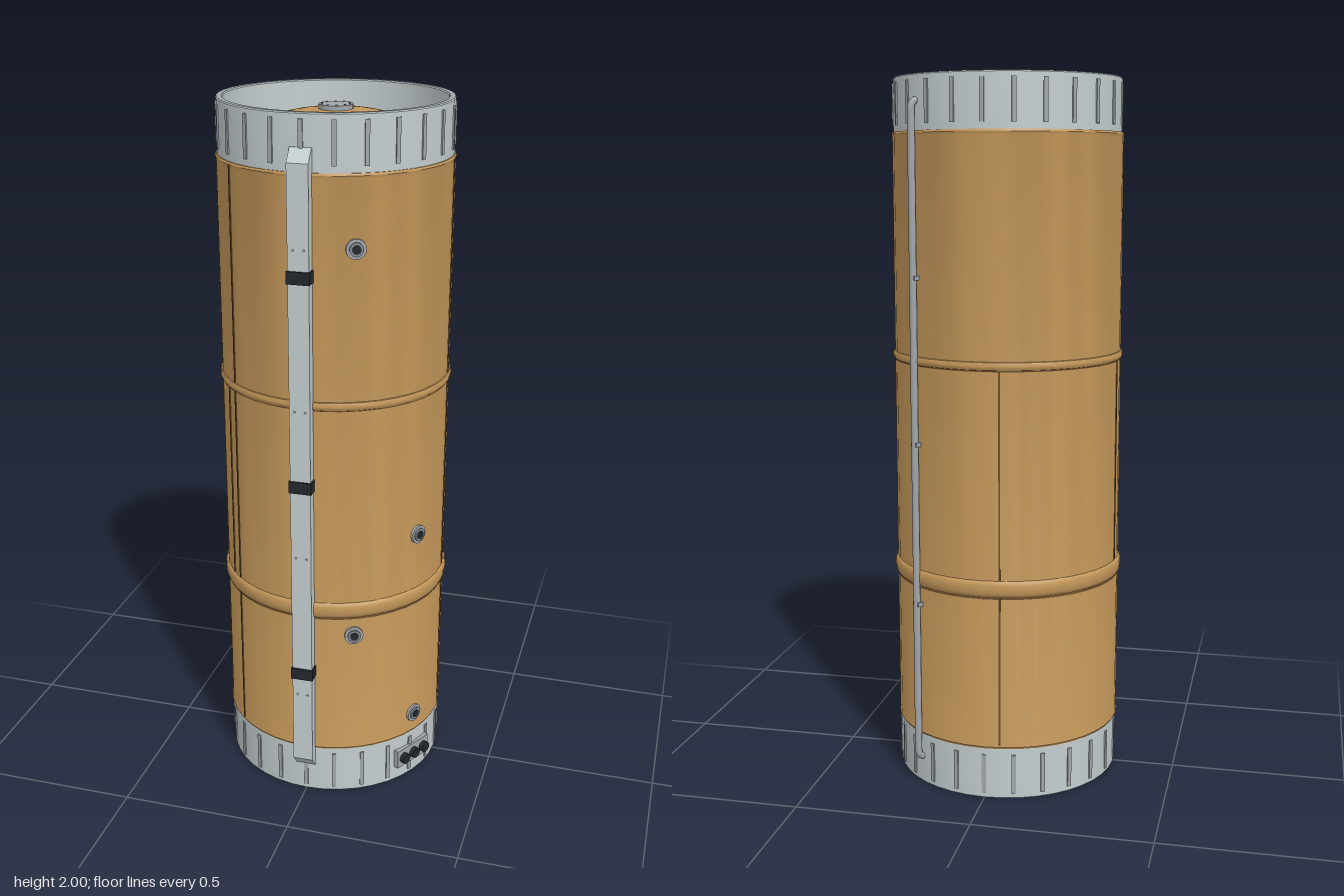
import * as THREE from 'three';
import { toCreasedNormals } from 'three/addons/utils/BufferGeometryUtils.js';

const material = (name, color, side = THREE.FrontSide) => {
  const m = new THREE.MeshStandardMaterial({ color, side });
  m.name = name;
  return m;
};

export function createModel() {
  const tan = material('tan shell', 0xc29659);
  const seamBrown = material('seam brown', 0x6b4d28);
  const light = material('light grey', 0xc4cdce);
  const grey = material('mid grey', 0xa2a7ab);
  const steel = material('steel', 0x7f8a94);
  const black = material('black', 0x23282b);

  const model = new THREE.Group();
  model.name = 'tank';
  const axis = new THREE.Group();
  axis.name = 'tankAssembly';
  axis.position.z = -0.012;
  model.add(axis);

  const add = (parent, name, geo, mat, x = 0, y = 0, z = 0) => {
    const m = new THREE.Mesh(geo, mat);
    m.name = name;
    m.position.set(x, y, z);
    parent.add(m);
    return m;
  };
  const lathe = (pts, seg = 40) =>
    toCreasedNormals(new THREE.LatheGeometry(pts.map(p => new THREE.Vector2(...p)), seg), 0.6);
  // Stand an object on the shell at an angle (degrees from the front towards +x)
  const place = (obj, deg, r, y) => {
    const a = THREE.MathUtils.degToRad(deg);
    obj.position.set(Math.sin(a) * r, y, Math.cos(a) * r);
    obj.rotation.y = a;
    return obj;
  };
  const disc = (r, h, seg = 16) => new THREE.CylinderGeometry(r, r, h, seg).rotateX(Math.PI / 2);

  // Main shell
  add(axis, 'shell', lathe([[0.3, 0.15], [0.324, 0.15], [0.327, 0.156], [0.325, 0.162],
    [0.325, 1.84], [0.327, 1.846], [0.324, 1.852], [0.3, 1.852]]), tan);

  // Rolled beads around the shell
  const bead = (name, y, half, out) => {
    const pts = [];
    for (let i = 0; i <= 6; i++) {
      const t = i / 6 * Math.PI;
      pts.push([0.3245 + out * Math.sin(t), y - half * Math.cos(t)]);
    }
    add(axis, name, lathe(pts), tan);
  };
  bead('lowerBead', 0.615, 0.024, 0.0085);
  bead('upperBead', 1.232, 0.012, 0.0065);
  for (const y of [0.588, 1.219])
    add(axis, 'beadSeam', lathe([[0.3255, y - 0.002], [0.3255, y + 0.002]]), seamBrown);

  // Vertical panel seams: angle, bottom, top
  const seams = [[92, 0.16, 0.59], [92, 0.64, 1.22], [92, 1.245, 1.845],
    [-43, 0.16, 0.59], [-43, 0.64, 1.22], [-43, 1.245, 1.845],
    [-50, 0.64, 1.22], [-97, 0.64, 1.22], [-172, 0.64, 1.22], [-172, 0.16, 0.59]];
  for (const [deg, y0, y1] of seams)
    place(add(axis, 'panelSeam', new THREE.BoxGeometry(0.005, y1 - y0, 0.006), seamBrown),
      deg, 0.3235, (y0 + y1) / 2);

  // End skirts with recessed domes; the lower one is turned over
  const domeY = r => -0.165 + 0.13 * Math.sqrt(Math.max(0, 1 - (r / 0.293) ** 2));
  for (const top of [true, false]) {
    const end = new THREE.Group();
    end.name = top ? 'topEnd' : 'bottomEnd';
    end.position.y = top ? 2 : 0;
    if (!top) end.rotation.z = Math.PI;
    axis.add(end);

    add(end, 'skirt', lathe([[0.3, -0.152], [0.321, -0.152], [0.321, -0.003], [0.318, 0],
      [0.306, 0], [0.303, -0.003], [0.303, -0.152]]), light);
    add(end, 'skirtRim', lathe([[0.3195, 0.0002], [0.305, 0.0002]]), grey);
    add(end, 'flange', lathe([[0.305, -0.12], [0.29, -0.12], [0.29, -0.16]], 18), grey);
    for (let i = 0; i < 24; i++)
      place(add(end, 'skirtRib', new THREE.BoxGeometry(0.012, 0.115, 0.008), grey), i * 15, 0.32, -0.073);
    add(end, 'innerPlate', new THREE.BoxGeometry(0.06, 0.06, 0.008), grey, 0, -0.06, 0.3);

    // Dome, its weld line and the bolted cover
    const pts = [];
    for (let i = 0; i <= 14; i++) {
      const r = 0.293 * Math.cos(i / 14 * Math.PI / 2);
      pts.push([i === 14 ? 0 : r, domeY(r)]);
    }
    add(end, 'dome', new THREE.LatheGeometry(pts.map(p => new THREE.Vector2(...p)), 40), tan);
    add(end, 'domeWeld', new THREE.TorusGeometry(0.179, 0.0015, 6, 48).rotateX(Math.PI / 2),
      seamBrown, 0, domeY(0.179), 0);
    add(end, 'cover', new THREE.CylinderGeometry(0.047, 0.047, 0.016, 28), grey, 0, -0.032, 0);
    for (let i = 0; i < 10; i++) {
      const a = (i + 0.5) / 10 * Math.PI * 2;
      add(end, 'coverBolt', new THREE.CylinderGeometry(0.003, 0.003, 0.003, 8), steel,
        Math.sin(a) * 0.039, -0.0235, Math.cos(a) * 0.039);
    }
  }

  // Cable duct up the front, with sloped ends
  const side = new THREE.Shape([[0.305, 0.09], [0.322, 0.09], [0.352, 0.125], [0.352, 1.88],
    [0.322, 1.915], [0.305, 1.915]].map(p => new THREE.Vector2(...p)));
  add(axis, 'cableDuct', new THREE.ExtrudeGeometry(side, { depth: 0.058, bevelEnabled: false })
    .translate(0, 0, -0.029).rotateY(-Math.PI / 2), light);
  for (const y of [0.416, 1.002, 1.588])
    add(axis, 'ductStrap', new THREE.BoxGeometry(0.064, 0.034, 0.042), black, 0, y, 0.336);
  for (const y of [0.345, 0.785, 1.22, 1.66])
    for (const x of [-0.015, 0.015])
      add(axis, 'ductRivet', disc(0.004, 0.003, 8), grey, x, y, 0.3525);

  // Round ports
  for (const [deg, y] of [[25, 1.66], [25, 0.535], [61.5, 0.81], [61.5, 0.215]]) {
    const port = place(new THREE.Group(), deg, 0.325, y);
    port.name = 'port';
    axis.add(port);
    add(port, 'portFlange', disc(0.027, 0.012, 20), grey);
    add(port, 'portCollar', disc(0.019, 0.022, 20), steel);
    add(port, 'portCap', disc(0.012, 0.026), black);
  }

  // Connector panel on the lower skirt
  const panel = place(new THREE.Group(), 61.5, 0.318, 0.076);
  panel.name = 'connectorPanel';
  axis.add(panel);
  add(panel, 'panelPlate', new THREE.BoxGeometry(0.135, 0.058, 0.022), grey);
  for (const x of [-0.043, 0, 0.043])
    add(panel, 'connector', disc(0.016, 0.034), black, x, 0, 0.008);

  // Outside pipe with ends bent into the skirts
  const pipe = place(new THREE.Group(), 142, 0, 0);
  pipe.name = 'pipe';
  axis.add(pipe);
  const path = new THREE.CurvePath();
  const V = (y, z) => new THREE.Vector3(0, y, z);
  path.add(new THREE.LineCurve3(V(0.08, 0.3), V(0.08, 0.318)));
  path.add(new THREE.QuadraticBezierCurve3(V(0.08, 0.318), V(0.08, 0.336), V(0.105, 0.336)));
  path.add(new THREE.LineCurve3(V(0.105, 0.336), V(1.905, 0.336)));
  path.add(new THREE.QuadraticBezierCurve3(V(1.905, 0.336), V(1.93, 0.336), V(1.93, 0.318)));
  path.add(new THREE.LineCurve3(V(1.93, 0.318), V(1.93, 0.3)));
  add(pipe, 'pipeRun', new THREE.TubeGeometry(path, 240, 0.01, 10), grey);
  for (const y of [0.54, 1.0, 1.46])
    add(pipe, 'pipeClip', new THREE.BoxGeometry(0.026, 0.012, 0.02), grey, 0, y, 0.33);

  return model;
}
